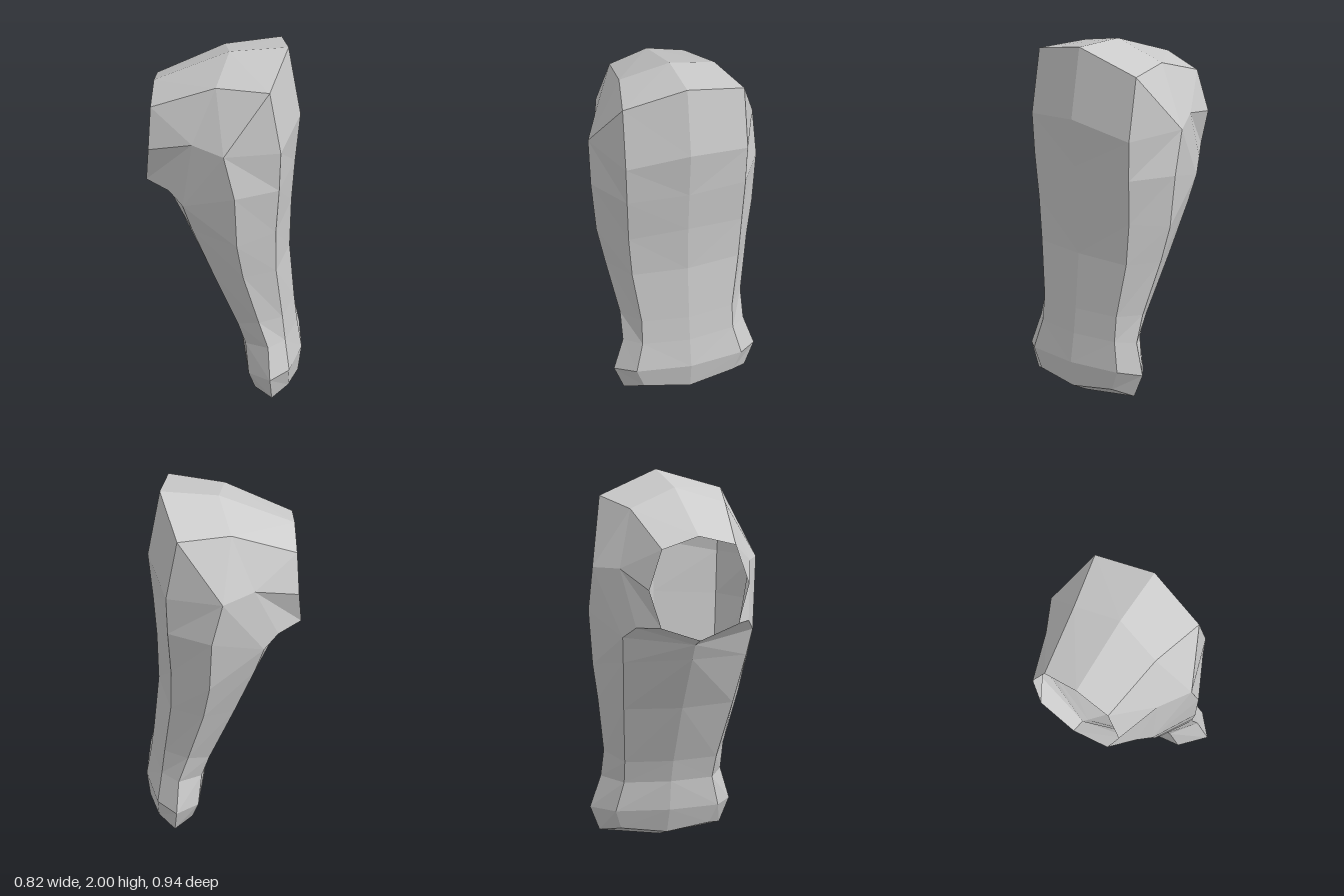
import * as THREE from 'three';

const material = new THREE.MeshStandardMaterial({ color: 0xcccccc, flatShading: true, side: THREE.DoubleSide });

// Builds a mesh from half-body polygons (z >= 0) and mirrors them across z = 0.
function mirroredMesh(name, polygons) {
  const pos = [];
  for (const poly of polygons) {
    for (let i = 1; i < poly.length - 1; i++) {
      const tri = [poly[0], poly[i], poly[i + 1]];
      for (const p of tri) pos.push(p[0], p[1], p[2]);
      for (const p of tri.reverse()) pos.push(p[0], p[1], -p[2]);
    }
  }
  const geometry = new THREE.BufferGeometry();
  geometry.setAttribute('position', new THREE.Float32BufferAttribute(pos, 3));
  geometry.computeVertexNormals();
  const mesh = new THREE.Mesh(geometry, material);
  mesh.name = name;
  return mesh;
}

// Half sections from foot to thigh: outer ridge, outer corner, widest corner, inner corner, inner ridge.
const sections = [
  [[0.39, 0.06, 0], [0.36, 0.09, 0.25], [0.28, 0.05, 0.34], [0.18, 0.07, 0.25], [0.15, 0.04, 0]],
  [[0.41, 0.20, 0], [0.37, 0.20, 0.295], [0.275, 0.18, 0.395], [0.15, 0.17, 0.29], [0.10, 0.17, 0]],
  [[0.385, 0.36, 0], [0.345, 0.36, 0.255], [0.26, 0.35, 0.34], [0.13, 0.33, 0.25], [0.08, 0.33, 0]],
  [[0.37, 0.50, 0], [0.33, 0.50, 0.255], [0.21, 0.50, 0.34], [0.09, 0.45, 0.26], [0.04, 0.45, 0]],
  [[0.345, 0.81, 0], [0.30, 0.80, 0.30], [0.13, 0.80, 0.40], [-0.04, 0.77, 0.31], [-0.11, 0.77, 0]],
  [[0.355, 1.08, 0], [0.30, 1.04, 0.32], [0.10, 1.00, 0.44], [-0.15, 1.05, 0.35], [-0.28, 1.07, 0]],
  [[0.375, 1.32, 0], [0.32, 1.30, 0.335], [0.09, 1.30, 0.468], [-0.20, 1.20, 0.37], [-0.33, 1.16, 0]],
];

// Quads joining consecutive sections.
function strips(from, to) {
  const polys = [];
  for (let r = from; r < to; r++) {
    const a = sections[r], b = sections[r + 1];
    for (let i = 0; i < 4; i++) polys.push([a[i], b[i], b[i + 1], a[i + 1]]);
  }
  return polys;
}

export function createModel() {
  const leg = new THREE.Group();
  leg.name = 'leg';

  // Foot with its shallow pointed sole
  const sole = [0.28, 0.005, 0];
  const solePolys = [0, 1, 2, 3].map((i) => [sole, sections[0][i], sections[0][i + 1]]);
  leg.add(mirroredMesh('foot', [...solePolys, ...strips(0, 2)]));

  // Tapering lower leg
  leg.add(mirroredMesh('lowerLeg', strips(2, 6)));

  // Thigh, turning inward to an open hip socket
  const [ridge, corner, wide, inner, innerRidge] = sections[6];
  const ridgeMid = [0.405, 1.60, 0], cornerMid = [0.33, 1.53, 0.345], wideMid = [0.03, 1.55, 0.465];
  const ridgeTop = [0.34, 2.00, 0], cornerTop = [0.27, 1.89, 0.345];
  const crown = [0.02, 1.96, 0], crownEdge = [-0.03, 1.87, 0.27];
  const side = [-0.15, 1.57, 0.37], under = [-0.28, 1.265, 0.32];
  const rimTop = [-0.39, 1.77, 0], rimUpper = [-0.39, 1.71, 0.21], rimSide = [-0.395, 1.49, 0.285];
  const rimLower = [-0.41, 1.28, 0.22], rimBottom = [-0.415, 1.20, 0];
  leg.add(mirroredMesh('thigh', [
    // outer face
    [ridge, ridgeMid, cornerMid, corner],
    [corner, cornerMid, wideMid, wide],
    [ridgeMid, ridgeTop, cornerTop, cornerMid],
    [cornerMid, cornerTop, wideMid],
    // top
    [cornerTop, ridgeTop, crown, crownEdge],
    [crownEdge, crown, rimTop, rimUpper],
    // sides
    [wideMid, cornerTop, crownEdge],
    [side, wideMid, crownEdge],
    [side, crownEdge, rimUpper],
    [side, rimUpper, rimSide],
    [side, rimSide, rimLower, under],
    [inner, wide, wideMid, side],
    [inner, side, under],
    // underside
    [under, rimLower, rimBottom, innerRidge],
    [inner, under, innerRidge],
  ]));
  return leg;
}
